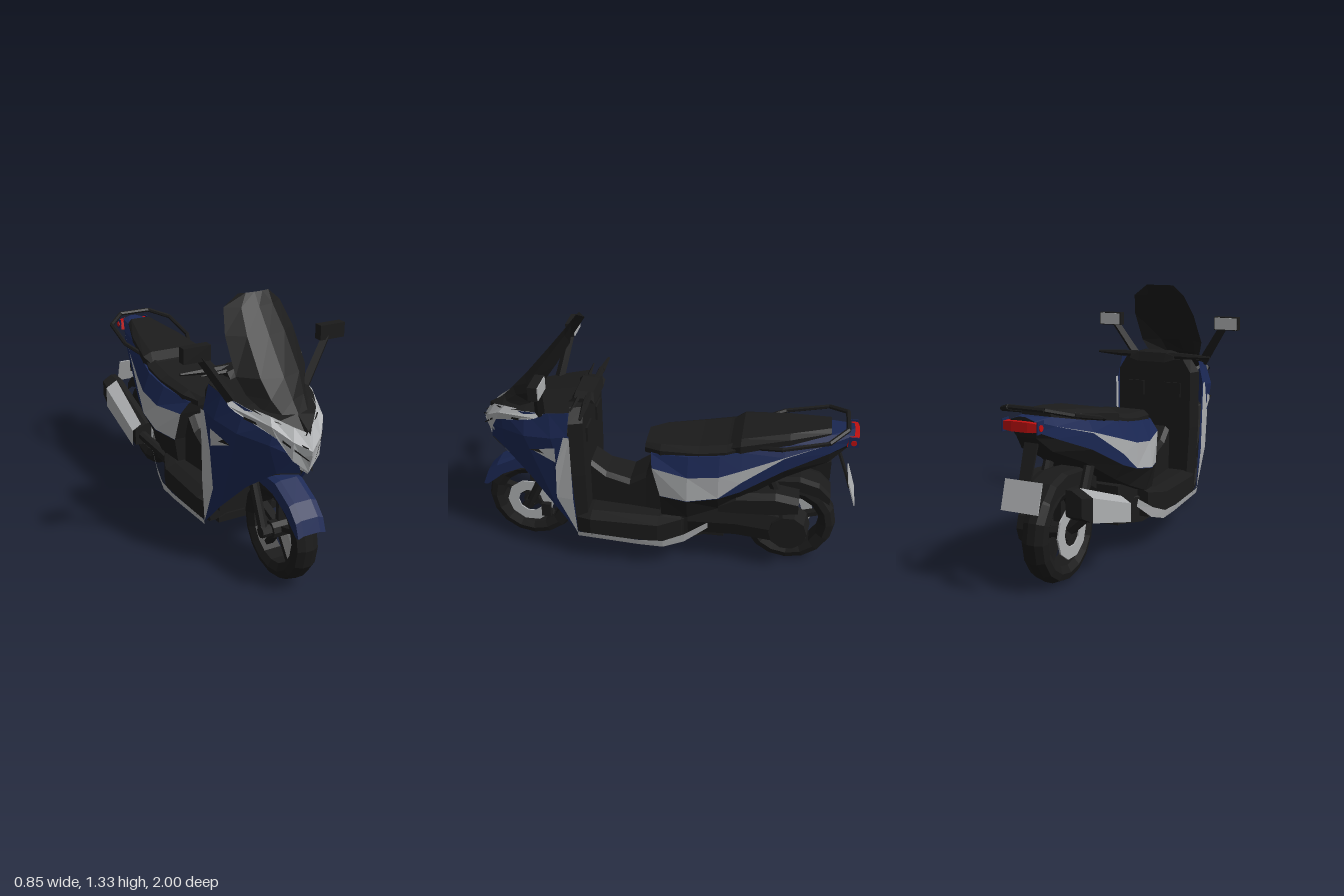
import * as THREE from 'three';

const V = (p) => new THREE.Vector3(...p);
const mat = (name, color) => new THREE.MeshStandardMaterial({ name, color, flatShading: true, side: THREE.DoubleSide });

export function createModel() {
  const model = new THREE.Group();
  const black = mat('black plastic', 0x1b1b1b), rubber = mat('tyre rubber', 0x1a1a1a);
  const seatMat = mat('seat vinyl', 0x1c1c1c), blue = mat('blue paint', 0x1b2854);
  const silver = mat('silver trim', 0xadafb1), red = mat('red lens', 0xc01010);

  const add = (name, geo, m, parent = model) => {
    const mesh = new THREE.Mesh(geo, m);
    mesh.name = name;
    parent.add(mesh);
    return mesh;
  };
  const fromTris = (tris) => {
    const g = new THREE.BufferGeometry().setFromPoints(tris.map(V));
    g.computeVertexNormals();
    return g;
  };
  // Surface through rows of points; optional end caps close a loft
  const grid = (rows, caps = false) => {
    const t = [];
    for (let i = 0; i < rows.length - 1; i++)
      for (let j = 0; j < rows[i].length - 1; j++) {
        const [a, b, c, d] = [rows[i][j], rows[i][j + 1], rows[i + 1][j + 1], rows[i + 1][j]];
        t.push(a, b, c, a, c, d);
      }
    if (caps) {
      const f = rows[0], l = rows[rows.length - 1];
      for (let j = 1; j < f.length - 2; j++) t.push(f[0], f[j + 1], f[j], l[0], l[j], l[j + 1]);
    }
    return fromTris(t);
  };
  const loft = (rings) => grid(rings.map((r) => [...r, r[0]]), true);
  // Flat panel outlined by 3D points, seen from the side
  const panel = (pts) => {
    const flat = pts.map((p) => new THREE.Vector2(p[2], p[1]));
    return fromTris(THREE.ShapeUtils.triangulateShape(flat, []).flat().map((i) => pts[i]));
  };
  const box = (name, x, y, z, m = black) => {
    const mesh = add(name, new THREE.BoxGeometry(x[1] - x[0], y[1] - y[0], z[1] - z[0]), m);
    mesh.position.set((x[0] + x[1]) / 2, (y[0] + y[1]) / 2, (z[0] + z[1]) / 2);
    return mesh;
  };
  const beam = (name, a, b, r, m = black, sides = 6, r2 = r) => {
    const d = V(b).sub(V(a));
    const mesh = add(name, new THREE.CylinderGeometry(r2, r, d.length(), sides), m);
    mesh.position.copy(V(a)).addScaledVector(d, 0.5);
    mesh.quaternion.setFromUnitVectors(new THREE.Vector3(0, 1, 0), d.normalize());
    return mesh;
  };
  // Symmetric section [z, halfWidth, top, bottom] with bevelled top edges
  const section = ([z, w, top, bot]) => {
    const m = top - Math.min(0.02, (top - bot) * 0.4);
    return [[-w, bot, z], [-w, m, z], [-w * 0.75, top, z], [w * 0.75, top, z], [w, m, z], [w, bot, z]];
  };
  const sections = (name, list, m) => add(name, loft(list.map(section)), m);
  const ring = (prof, seg) => new THREE.LatheGeometry(prof.map((p) => new THREE.Vector2(...p)), seg).rotateZ(-Math.PI / 2);

  // Wheels
  const wheel = (name, z) => {
    const g = new THREE.Group();
    g.name = name;
    g.position.set(0, 0.249, z);
    model.add(g);
    add('tyre', ring([[0.165, -0.045], [0.2, -0.064], [0.232, -0.055], [0.248, -0.02], [0.248, 0.02], [0.232, 0.055], [0.2, 0.064], [0.165, 0.045], [0.165, -0.045]], 16), rubber, g);
    add('hub', ring([[0, -0.06], [0.045, -0.06], [0.045, 0.06], [0, 0.06]], 10), black, g);
    for (let i = 0; i < 5; i++) {
      const a = (i / 5) * Math.PI * 2;
      const s = add('spoke', new THREE.BoxGeometry(0.04, 0.15, 0.024), black, g);
      s.position.set(0, Math.cos(a) * 0.1, Math.sin(a) * 0.1);
      s.rotation.x = a;
    }
    return g;
  };
  const disc = ring([[0.07, -0.004], [0.13, -0.004], [0.13, 0.004], [0.07, 0.004], [0.07, -0.004]], 10);
  add('front brake disc', disc, silver, wheel('front wheel', 0.735)).position.x = 0.07;
  add('rear brake disc', disc, silver, wheel('rear wheel', -0.675)).position.x = -0.07;

  // Front fender and rear hugger: [z, y, side drop, side shift]
  const arch = (pts, w) => grid(pts.map(([z, y, drop, dz = 0]) =>
    [[-w, y - drop, z + dz], [-w, y - 0.01, z], [-w * 0.6, y, z], [w * 0.6, y, z], [w, y - 0.01, z], [w, y - drop, z + dz]]));
  add('front fender', arch([[0.995, 0.345, 0.012, -0.02], [0.97, 0.41, 0.05, -0.03], [0.91, 0.47, 0.06, -0.03], [0.79, 0.53, 0.07, -0.02], [0.65, 0.53, 0.06], [0.57, 0.47, 0.04]], 0.073), blue);
  add('rear fender', arch([[-0.45, 0.47, 0.07], [-0.56, 0.53, 0.07], [-0.72, 0.54, 0.07], [-0.82, 0.51, 0.07], [-0.88, 0.45, 0.05]], 0.08), black);

  // Central nose, chin, legshield and radiator
  add('nose cover', grid([[0.93, 0.01, 0.8], [0.84, 0.11, 0.85], [0.69, 0.185, 0.885], [0.55, 0.222, 0.905], [0.44, 0.235, 0.925]]
    .map(([z, w, y]) => [[-w, y, z], [0, y + 0.02, z], [w, y, z]])), black);
  add('chin', grid([[0.93, 0.03, 0.62], [0.84, 0.1, 0.595], [0.69, 0.165, 0.5], [0.52, 0.2, 0.38]]
    .map(([z, w, y]) => [[-w, y, z], [0, y + 0.04, z], [w, y, z]])), black);
  box('radiator housing', [-0.2, 0.2], [0.27, 0.62], [0.45, 0.5]);
  add('legshield', loft([[0.2, 0.22], [0.55, 0.24], [0.86, 0.24], [0.93, 0.19]]
    .map(([y, w]) => [[-w, y, 0.45], [w, y, 0.45], [w * 0.9, y, 0.38], [-w * 0.9, y, 0.38]])), black);
  for (const x of [-0.11, 0.11]) box('storage pocket', [x - 0.05, x + 0.05], [0.72, 0.8], [0.37, 0.39]);
  add('headlight centre', grid([[[-0.07, 0.7, 0.9], [0, 0.72, 0.97], [0.07, 0.7, 0.9]], [[-0.03, 0.64, 0.92], [0, 0.62, 0.94], [0.03, 0.64, 0.92]]]), silver);

  // Windscreen: height, half width, centre z, sweep of the edges
  add('windscreen', grid([[0.87, 0.12, 0.85, 0.1], [0.92, 0.155, 0.8, 0.14], [1.0, 0.185, 0.725, 0.11], [1.16, 0.18, 0.59, 0.085], [1.27, 0.15, 0.5, 0.065], [1.328, 0.08, 0.455, 0.01]]
    .map(([y, w, z, sweep]) => [-1, -0.55, 0, 0.55, 1].map((u) => [w * u, y, z - sweep * u * u]))), black);

  // Handlebar
  beam('handlebar', [-0.2, 0.95, 0.37], [0.2, 0.95, 0.37], 0.018);
  add('handlebar cover', loft([[-0.13, 0.015], [-0.08, 0.03], [0.08, 0.03], [0.13, 0.015]]
    .map(([x, h]) => [[x, 0.945 - h, 0.47], [x, 0.94 + h, 0.44], [x, 0.935 + h, 0.35], [x, 0.945 - h, 0.335]])), black);

  // Floor, tunnel and belly
  add('floorboard', loft([[0.44, 0.22, 0.3, 0.19], [0.36, 0.25, 0.31, 0.19], [0, 0.25, 0.31, 0.19], [-0.12, 0.2, 0.33, 0.18]].map(section)), black);
  add('belly pan', loft([[0.46, 0.18, 0.22, 0.18], [0.1, 0.19, 0.22, 0.165], [-0.1, 0.16, 0.3, 0.145], [-0.28, 0.1, 0.32, 0.17]].map(section)), black);
  sections('centre tunnel', [[0.42, 0.09, 0.58, 0.28], [0.3, 0.1, 0.49, 0.28], [0.17, 0.11, 0.46, 0.28], [0.08, 0.12, 0.52, 0.28], [0, 0.13, 0.63, 0.3]], black);

  // Rear body stations: z, then [x, y, z shift] of top, trim top, trim bottom, blue bottom, underside
  const tail = [
    [0.05, [0.13, 0.662], [0.178, 0.602, -0.01], [0.19, 0.442, -0.055], [0.19, 0.44, -0.055], [0.17, 0.31, -0.06]],
    [-0.15, [0.18, 0.69], [0.223, 0.59], [0.236, 0.455], [0.236, 0.452], [0.2, 0.33]],
    [-0.31, [0.19, 0.715], [0.23, 0.615], [0.23, 0.487], [0.23, 0.484], [0.185, 0.395]],
    [-0.42, [0.175, 0.74], [0.21, 0.652], [0.212, 0.58], [0.21, 0.525], [0.165, 0.45]],
    [-0.63, [0.135, 0.785], [0.165, 0.723], [0.165, 0.718], [0.16, 0.64], [0.12, 0.575]],
    [-0.85, [0.075, 0.825], [0.1, 0.785], [0.1, 0.785], [0.1, 0.73], [0.08, 0.67]],
    [-0.965, [0.018, 0.84], [0.06, 0.825], [0.06, 0.825], [0.06, 0.775, 0.015], [0.05, 0.745, 0.03]],
  ];
  const P = (s, k, sx) => [s[k][0] * sx, s[k][1], s[0] + (s[k][2] || 0)];
  const across = (k) => grid(tail.map((s) => [P(s, k, -1), P(s, k, 1)]));
  const endWall = (s) => grid([1, 2, 3, 4, 5].map((k) => [P(s, k, -1), P(s, k, 1)]));
  add('tail top', across(1), blue);
  add('tail underside', across(5), black);
  add('body front wall', endWall(tail[0]), black);
  add('tail end', endWall(tail[6]), black);

  // Parts mirrored left and right
  for (const s of [1, -1]) {
    const side = s > 0 ? 'left ' : 'right ';
    const M = (pts) => pts.map(([x, y, z]) => [x * s, y, z]);
    ['blue upper', 'silver trim', 'blue lower', 'black lower'].forEach((n, k) =>
      add(side + n + ' rear panel', grid(tail.map((t) => [P(t, k + 1, s), P(t, k + 2, s)])), k === 1 ? silver : k === 3 ? black : blue));

    // Front cowl side
    add(side + 'front cowl', grid([
      [[0.01, 0.76, 0.93], [0.045, 0.7, 0.92], [0.03, 0.625, 0.93]],
      [[0.11, 0.84, 0.84], [0.135, 0.74, 0.83], [0.1, 0.6, 0.84]],
      [[0.18, 0.88, 0.69], [0.22, 0.76, 0.69], [0.165, 0.48, 0.69]],
      [[0.22, 0.9, 0.55], [0.255, 0.78, 0.54], [0.215, 0.32, 0.54]],
      [[0.235, 0.92, 0.45], [0.262, 0.8, 0.45], [0.24, 0.19, 0.43]],
    ].map(M)), blue);
    add(side + 'cowl edge trim', panel(M([[0.268, 0.8, 0.47], [0.264, 0.62, 0.52], [0.252, 0.42, 0.53], [0.244, 0.19, 0.43], [0.262, 0.42, 0.44], [0.27, 0.8, 0.44]])), silver);
    add(side + 'cowl vent', panel(M([[0.232, 0.69, 0.65], [0.264, 0.73, 0.52], [0.26, 0.64, 0.52]])), silver);
    add(side + 'cowl vent shadow', panel(M([[0.235, 0.692, 0.66], [0.244, 0.705, 0.61], [0.254, 0.685, 0.58]])), black);

    // Headlight wing with dark slashes
    add(side + 'headlight', grid([
      [[0.215, 0.893, 0.58], [0.226, 0.872, 0.62], [0.215, 0.855, 0.66]],
      [[0.12, 0.87, 0.81], [0.135, 0.835, 0.845], [0.12, 0.785, 0.865]],
      [[0.05, 0.835, 0.89], [0.07, 0.78, 0.925], [0.07, 0.69, 0.92]],
      [[0, 0.812, 0.925], [0, 0.74, 0.97], [0, 0.63, 0.945]],
    ].map(M)), silver);
    const slash = (a, b, h) => add(side + 'headlight slash', grid([M([a, b]), M([[a[0], a[1] - h, a[2]], [b[0], b[1] - h / 2, b[2]]])]), black);
    slash([0.2, 0.85, 0.715], [0.02, 0.76, 0.968], 0.013);
    slash([0.105, 0.785, 0.89], [0.015, 0.7, 0.969], 0.012);

    // Mirror
    beam(side + 'mirror stalk', [0.2 * s, 0.89, 0.6], [0.335 * s, 1.1, 0.56], 0.026, black, 4, 0.022);
    const xs = [0.29 * s, 0.425 * s].sort((a, b) => a - b);
    box(side + 'mirror housing', xs, [1.085, 1.157], [0.535, 0.58]);
    box(side + 'mirror glass', [xs[0] + 0.005, xs[1] - 0.005], [1.089, 1.153], [0.53, 0.535], silver);

    // Grip and brake lever
    beam(side + 'grip', [0.19 * s, 0.95, 0.368], [0.335 * s, 0.952, 0.36], 0.018, black, 6, 0.007);
    beam(side + 'brake lever', [0.12 * s, 0.95, 0.42], [0.26 * s, 0.952, 0.425], 0.012, black, 4, 0.003);

    // Fork, belly trim and shock
    beam(side + 'fork leg', [0.09 * s, 0.23, 0.74], [0.09 * s, 0.62, 0.56], 0.025, black, 8);
    add(side + 'belly trim', grid([[0.43, 0.203, 0.172, 0.25], [0.1, 0.195, 0.16, 0.26], [-0.03, 0.2, 0.155, 0.256], [-0.14, 0.243, 0.19, 0.237], [-0.26, 0.315, 0.275, 0.212]]
      .map(([z, t, b, x]) => M([[x, t, z], [x - 0.008, b, z]]))), silver);
    beam(side + 'shock absorber', [0.11 * s, 0.36, -0.66], [0.11 * s, 0.62, -0.54], 0.027, black, 8);

    // Tail light end caps
    const caps = [0.086 * s, 0.091 * s].sort((a, b) => a - b);
    box(side + 'tail light cap', caps, [0.772, 0.828], [-0.987, -0.935], blue);
    beam(side + 'tail marker', [0.085 * s, 0.797, -0.962], [0.096 * s, 0.797, -0.962], 0.015, red, 8);
  }
  beam('front axle', [-0.11, 0.249, 0.735], [0.11, 0.249, 0.735], 0.03, black, 8);
  box('brake caliper', [0.06, 0.1], [0.17, 0.25], [0.62, 0.67]);

  // Seat
  sections('rider seat', [[0.085, 0.1, 0.695, 0.65], [0, 0.145, 0.71, 0.66], [-0.2, 0.175, 0.73, 0.675], [-0.34, 0.18, 0.755, 0.7], [-0.42, 0.16, 0.78, 0.72]], seatMat);
  sections('passenger seat', [[-0.34, 0.15, 0.75, 0.72], [-0.41, 0.178, 0.795, 0.725], [-0.65, 0.135, 0.83, 0.765], [-0.85, 0.075, 0.853, 0.8]], seatMat);

  // Grab rail
  const rail = [[0.15, 0.76, -0.5], [0.195, 0.79, -0.62], [0.185, 0.84, -0.84], [0.09, 0.87, -0.93]];
  const railPath = [...rail, ...rail.map(([x, y, z]) => [-x, y, z]).reverse()];
  for (let i = 0; i < railPath.length - 1; i++) beam('grab rail', railPath[i], railPath[i + 1], 0.012);

  // Tail light and number plate
  add('tail light', loft([[-0.087, 0.026, -0.983], [-0.04, 0.032, -0.99], [0.04, 0.032, -0.99], [0.087, 0.026, -0.983]]
    .map(([x, h, z]) => [[x, 0.797 - h, -0.93], [x, 0.797 + h * 0.8, -0.94], [x, 0.797 + h * 0.8, z], [x, 0.797 - h * 0.6, z]])), red);
  add('plate bracket', loft([[0.035, 0.72, -0.885], [0.03, 0.56, -0.943], [0.02, 0.48, -0.967]]
    .map(([x, y, z]) => [[x, y, z], [-x, y, z], [-x, y, z - 0.01], [x, y, z - 0.01]])), black);
  const plate = box('number plate', [-0.095, 0.095], [0.42, 0.56], [-0.985, -0.979], silver);
  plate.rotation.x = 0.3;

  // Engine, drive case and air box
  box('engine', [-0.14, 0.15], [0.19, 0.39], [-0.34, -0.05]);
  add('drive case', loft([[-0.15, 0.36, 0.2], [-0.4, 0.37, 0.21], [-0.6, 0.35, 0.19], [-0.72, 0.33, 0.18]]
    .map(([z, t, b]) => [[0.08, b, z], [0.08, t, z], [0.15, t, z], [0.17, (t + b) / 2, z], [0.15, b, z]])), black);
  beam('drive hub', [0.06, 0.26, -0.675], [0.17, 0.26, -0.675], 0.115, black, 10, 0.1);
  add('air box', loft([[-0.31, 0.44, 0.38], [-0.4, 0.49, 0.38], [-0.6, 0.51, 0.39], [-0.72, 0.49, 0.41]]
    .map(([z, t, b]) => [[0.085, b, z], [0.085, t, z], [0.17, t, z], [0.195, t - 0.03, z], [0.195, b, z]])), black);

  // Exhaust
  const muffler = (z, y, h, xi, xo) => [[xi, y - h, z], [xi, y + h, z], [xi - 0.03, y + h, z], [xo, y + h * 0.5, z], [xo, y - h, z]];
  add('muffler', loft([muffler(-0.42, 0.31, 0.06, -0.14, -0.235), muffler(-0.8, 0.43, 0.075, -0.15, -0.245), muffler(-0.88, 0.455, 0.06, -0.16, -0.24)]), black);
  add('muffler cover', grid([[-0.42, 0.31, 0.062, -0.17], [-0.8, 0.43, 0.077, -0.155]].map(([z, y, h, xi]) => muffler(z, y, h, xi, -0.252).slice(2))), silver);
  beam('exhaust pipe', [-0.1, 0.2, -0.15], [-0.19, 0.3, -0.43], 0.028, black, 8);
  beam('muffler mount', [-0.06, 0.26, -0.675], [-0.17, 0.36, -0.66], 0.03, black, 6);

  return model;
}
